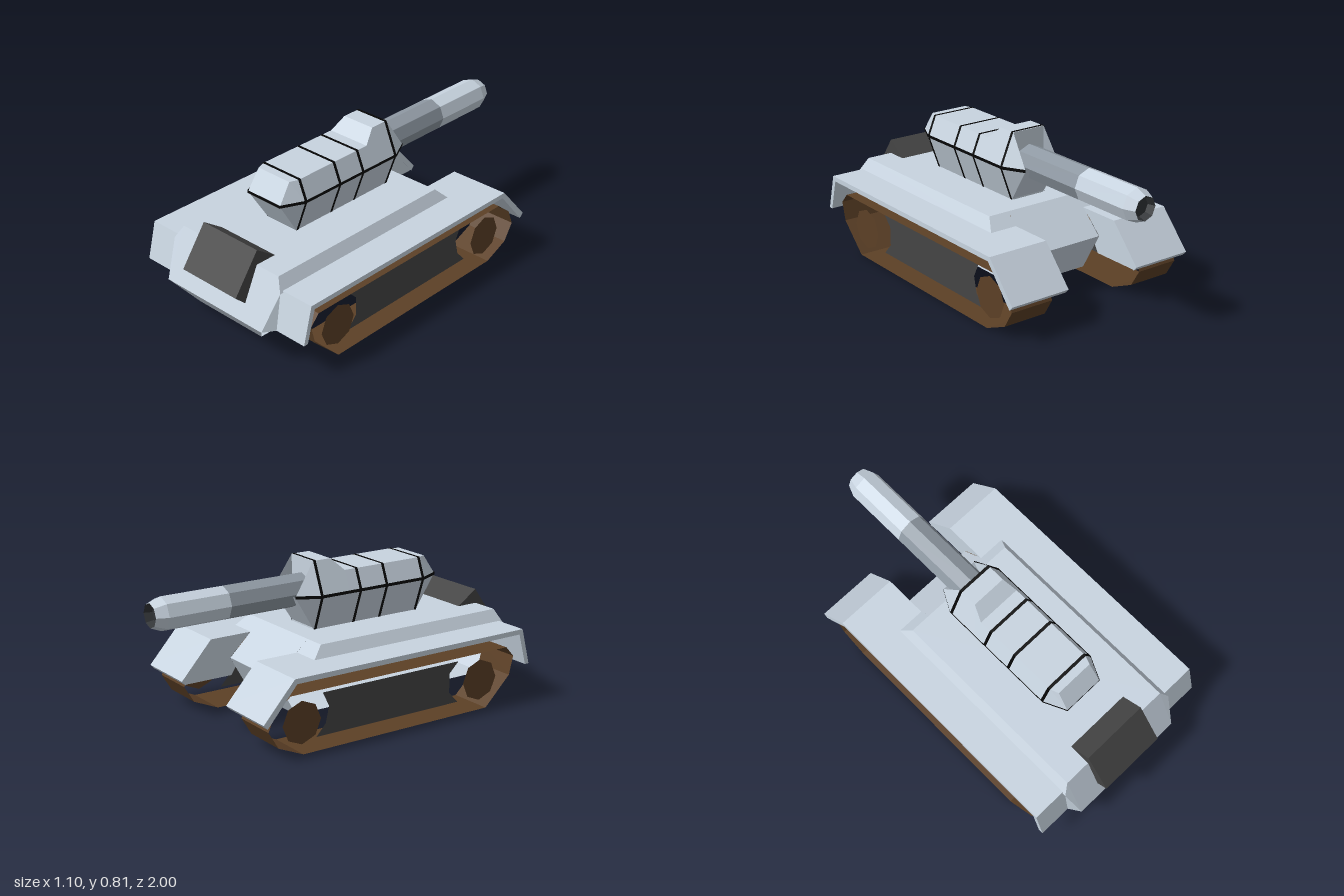
import * as THREE from 'three';

const mat = (color, side = THREE.FrontSide) =>
  new THREE.MeshStandardMaterial({ color, flatShading: true, side });
const ARMOUR = mat(0xc8d4e0, THREE.DoubleSide);
const BARREL_DARK = mat(0x8f99a3, THREE.DoubleSide);
const DARK = mat(0x444444, THREE.DoubleSide);
const BLACK = mat(0x050505, THREE.DoubleSide);
const BROWN = mat(0x5c4026, THREE.DoubleSide);
const HOLE = mat(0x303336, THREE.DoubleSide);

function add(parent, name, geometry, material) {
  const mesh = new THREE.Mesh(geometry, material);
  mesh.name = name;
  parent.add(mesh);
  return mesh;
}

// Flat-faced shell from a list of convex polygons
function shell(polys) {
  const pos = [];
  for (const p of polys)
    for (let i = 1; i < p.length - 1; i++) pos.push(...p[0], ...p[i], ...p[i + 1]);
  const g = new THREE.BufferGeometry();
  g.setAttribute('position', new THREE.Float32BufferAttribute(pos, 3));
  g.computeVertexNormals();
  return g;
}

const mir = ([x, y, z]) => [-x, y, z];
const mirPoly = (p) => p.map(mir).reverse();
// Polygon across the centre line from an edge on the +x side
const across = (a, b) => [a, b, mir(b), mir(a)];
const shapeOf = (pts, s = 1) => new THREE.Shape(pts.map(([a, b]) => new THREE.Vector2(s * a, b)));

// Side profile of [z, y] points, extruded from x0 to x1
function sideExtrude(pts, x0, x1) {
  return new THREE.ExtrudeGeometry(shapeOf(pts), { depth: x1 - x0, bevelEnabled: false })
    .rotateY(-Math.PI / 2).translate(x1, 0, 0);
}

// Flat side panel of [z, y] points at x, facing +x or -x
function sidePanel(pts, x, dir) {
  return new THREE.ShapeGeometry(shapeOf(pts, -dir)).rotateY(dir * Math.PI / 2).translate(x, 0, 0);
}

function buildHull(root) {
  const A = [0.33, 0.457, 0.86], B = [0.33, 0.457, -0.25];
  const C = [0.37, 0.39, 0.89], D = [0.37, 0.39, -0.32];
  const Bi = [0.215, 0.457, -0.25], Di = [0.215, 0.39, -0.32], E = [0.215, 0.28, -0.437];
  const F = [0.33, 0.203, 0.98], G = [0.37, 0.203, 0.92];
  const H = [0.22, 0.075, 0.88], I = [0.215, 0.075, -0.32];
  // bevelled deck, front corner and stepped rear
  const half = [[A, C, D, B], [B, D, Di, Bi], [A, F, C], [C, F, G]];
  add(root, 'upperHull', shell([
    across(A, B), across(F, A), across(Bi, E),
    ...half, ...half.map(mirPoly),
  ]), ARMOUR);
  // front chin, belly and tail plates
  add(root, 'lowerHull', shell([across(H, F), across(I, H), across(E, I)]), ARMOUR);
  // tilted block on the front
  add(root, 'frontBlock', sideExtrude(
    [[0.855, 0.535], [0.74, 0.455], [0.94, 0.28], [1, 0.335]], -0.185, 0.185), DARK);
}

function buildFenders(root) {
  const profile = [[0.92, 0.203], [0.868, 0.398], [-0.548, 0.398], [-0.722, 0.205], [-0.7, 0.182],
    [-0.535, 0.372], [0.848, 0.372], [0.895, 0.203]];
  const wall = [[-0.34, 0.372], [-0.437, 0.28], [-0.405, 0.225], [-0.43, 0.185],
    [-0.7, 0.185], [-0.535, 0.372]];
  for (const s of [1, -1]) {
    const x0 = s > 0 ? 0.215 : -0.55;
    add(root, 'fender', sideExtrude(profile, x0, x0 + 0.335), ARMOUR);
    add(root, 'fenderInnerWall', sidePanel(wall, s * 0.217, -s), ARMOUR);
  }
}

function buildTracks(root) {
  // belt with a raised front and a rounded rear
  const loop = [[0.66, 0], [0.815, 0.15], [0.84, 0.25], [0.79, 0.305], [-0.55, 0.305],
    [-0.64, 0.235], [-0.675, 0.15], [-0.62, 0.06], [-0.48, 0]];
  const panel = [[0.525, 0.26], [0.468, 0.205], [0.468, 0.1], [0.525, 0.04],
    [-0.36, 0.04], [-0.305, 0.1], [-0.285, 0.185], [-0.322, 0.26]];
  const wheel = (cz) => Array.from({ length: 8 }, (_, i) => {
    const a = i * Math.PI / 4;
    return [cz + 0.11 * Math.cos(a), 0.15 + 0.11 * Math.sin(a)];
  });
  for (const s of [1, -1]) {
    const track = new THREE.Group();
    track.name = s > 0 ? 'leftTrack' : 'rightTrack';
    root.add(track);
    const [a, b] = s > 0 ? [0.277, 0.517] : [-0.517, -0.277];
    add(track, 'belt', shell(loop.map(([z, y], i) => {
      const [z2, y2] = loop[(i + 1) % loop.length];
      return [[a, y, z], [b, y, z], [b, y2, z2], [a, y2, z2]];
    })), BROWN);
    add(track, 'sidePanel', sidePanel(panel, s * 0.45, s), DARK);
    add(track, 'frontWheel', sidePanel(wheel(0.635), s * 0.49, s), BROWN);
    add(track, 'rearWheel', sidePanel(wheel(-0.47), s * 0.49, s), BROWN);
  }
}

function buildTurret(root) {
  const turret = new THREE.Group();
  turret.name = 'turret';
  root.add(turret);
  const MID = 0.64, BOT = 0.457;
  // half sections: top, middle and bottom corner
  const section = (z, yTop, xTop) => [[xTop, yTop, z], [0.165, MID, z], [0.1, BOT, z]];
  const secs = [
    [[0.105, 0.745, 0.56], [0.11, MID, 0.63], [0.1, BOT, 0.517]],
    section(0.515, 0.745, 0.122),
    section(0.04, 0.745, 0.122),
    section(-0.03, 0.81, 0.095),
    section(-0.135, 0.81, 0.095),
    [[0.095, 0.81, -0.135], [0.105, MID, -0.247], [0.1, BOT, -0.13]],
  ];
  const polys = [];
  for (let i = 0; i < secs.length - 1; i++) {
    const p = secs[i], q = secs[i + 1];
    for (const k of [0, 1]) {
      const f = [p[k], p[k + 1], q[k + 1], q[k]];
      polys.push(f, mirPoly(f));
    }
    polys.push(across(p[0], q[0]), across(q[2], p[2]));
  }
  const [nose, tail, back] = [secs[0], secs[5], secs[4]];
  polys.push(across(nose[1], nose[0]), across(nose[2], nose[1]));
  // open recess behind, with a back wall around the gun
  polys.push(across(tail[1], tail[2]), across(back[0], [0.095, BOT, -0.135]));
  add(turret, 'turretBody', shell(polys), ARMOUR);

  // vertical seams: thin strips over the top and sides
  for (const [z, yTop, xTop] of [[0.51, 0.745, 0.122], [0.275, 0.745, 0.122],
    [0.11, 0.745, 0.122], [-0.127, 0.81, 0.095]]) {
    const half = [[0.102, BOT], [0.1675, MID], [xTop + 0.001, yTop + 0.002]];
    const line = [...half, ...half.map(([x, y]) => [-x, y]).reverse()];
    add(turret, 'verticalSeam', shell(line.slice(1).map(([x, y], i) => {
      const [x0, y0] = line[i];
      return [[x0, y0, z + 0.008], [x0, y0, z - 0.008], [x, y, z - 0.008], [x, y, z + 0.008]];
    })), BLACK);
  }
  // horizontal seam along the widest line, open at the recess
  const half = [[0.107, -0.249], [0.167, -0.136], [0.167, 0.516], [0.111, 0.632]];
  const line = [...half, ...half.map(([x, z]) => [-x, z]).reverse()];
  const lo = MID - 0.008, hi = MID + 0.008;
  add(turret, 'horizontalSeam', shell(line.slice(1).map(([x, z], i) => {
    const [x0, z0] = line[i];
    return [[x0, hi, z0], [x, hi, z], [x, lo, z], [x0, lo, z0]];
  })), BLACK);
}

function buildGun(root) {
  const gun = new THREE.Group();
  gun.name = 'gun';
  gun.position.y = 0.648;
  root.add(gun);
  // eight-sided lathe along -z from [radius, distance] points
  const part = (name, pts, m) => add(gun, name, new THREE.LatheGeometry(
    pts.map(([r, d]) => new THREE.Vector2(r, d)), 8).rotateX(-Math.PI / 2), m);
  part('barrelSleeve', [[0.086, 0.14], [0.086, 0.6]], BARREL_DARK);
  part('barrel', [[0.086, 0.6], [0.086, 0.94], [0.062, 1]], ARMOUR);
  part('bore', [[0.062, 1], [0.05, 0.96], [0, 0.96]], HOLE);
}

export function createModel() {
  const root = new THREE.Group();
  root.name = 'tank';
  buildHull(root);
  buildFenders(root);
  buildTracks(root);
  buildTurret(root);
  buildGun(root);
  return root;
}
